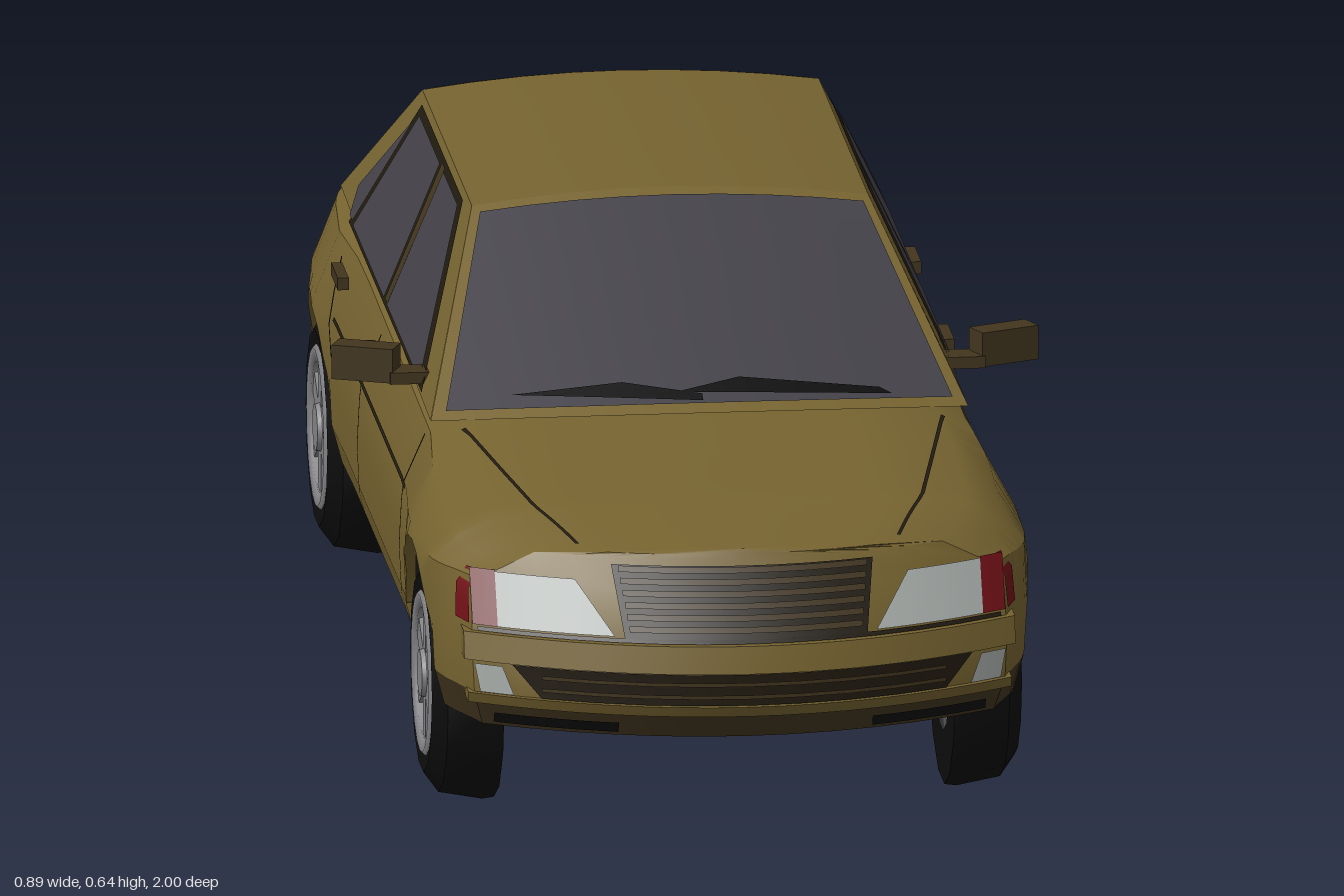
import * as THREE from 'three';
import { toCreasedNormals } from 'three/addons/utils/BufferGeometryUtils.js';

const material = (name, color) => {
  const m = new THREE.MeshStandardMaterial({ color, side: THREE.DoubleSide });
  m.name = name;
  return m;
};
const clamp = (v) => Math.min(1, Math.max(0, v));
const V = (x, y, z) => new THREE.Vector3(x, y, z);

// Piecewise linear lookup in [z, value] pairs
function lookup(table, z) {
  let i = 0;
  while (i < table.length - 2 && z > table[i + 1][0]) i++;
  const [a, b] = [table[i], table[i + 1]];
  return a[1] + (b[1] - a[1]) * clamp((z - a[0]) / (b[0] - a[0]));
}

const FRONT = 0.988, BACK = -0.985, AXLES = [0.61, -0.595], ARCH = 0.172;
const WIDTH = [[-1, 0.31], [-0.85, 0.345], [-0.7, 0.372], [-0.55, 0.383], [-0.4, 0.372], [0.4, 0.372],
  [0.55, 0.385], [0.7, 0.383], [0.85, 0.367], [0.99, 0.337]];
const TOP = [[-1, 0.425], [-0.8, 0.45], [-0.65, 0.457], [0.42, 0.445], [0.6, 0.425], [0.9, 0.395], [0.99, 0.385]];

// Rounds the nose and tail in plan and leans their faces
function bend(p) {
  const f = clamp((p.z - 0.75) / 0.24), r = clamp((-p.z - 0.75) / 0.24);
  const { x, y } = p;
  p.z -= f * (0.95 * x * x + Math.max(0, y - 0.27) * 0.6 + Math.max(0, 0.205 - y) * 0.6);
  p.z += r * (0.42 * x * x + Math.max(0, y - 0.27) * 0.2 + Math.max(0, 0.205 - y) * 0.6);
  return p;
}

// Bottom edge of the body side, rising over the wheels
function sill(z) {
  for (const c of AXLES) {
    const d = ARCH * ARCH - (z - c) ** 2;
    if (d > 0) return 0.163 + Math.sqrt(d);
  }
  return 0.16;
}

// Half cross-section from sill to bonnet centre
function section(z) {
  const w = lookup(WIDTH, z), t = lookup(TOP, z), b = sill(z);
  return [[w - 0.015, b], [w - 0.003, Math.max(0.205, b)], [w, Math.max(0.27, b)], [w - 0.004, 0.345],
    [w - 0.035, t - 0.03], [w - 0.08, t - 0.006], [w * 0.5, t], [0, t + 0.006]];
}

// Surfaces of the car, each taking two coordinates and an outward lift
const front = (x, y, d = 0) => bend(V(x, y, FRONT + d));
const back = (x, y, d = 0) => bend(V(x, y, BACK - d));
const side = (z, y, d = 0) => bend(V(lookup(section(z).slice(0, 5).map(([a, b]) => [b, a]), y) + d, y, z));
const top = (x, z, d = 0) => bend(V(x, lookup(section(z).slice(4).reverse(), x) + d, z));
const cabinSide = (z, y, d = 0) => V(0.337 - 0.087 * (y - 0.44) / 0.182 + d, y, z);
const roof = (x, z, d = 0) => V(x, 0.64 - 0.018 * (x / 0.25) ** 2 + d, z);
const windscreen = (u, v, d = 0) => V(u * 0.339, 0.435 + 0.014 * (1 - u * u), 0.47 - 0.05 * u * u)
  .lerp(roof(u * 0.25, 0.08), v).add(V(0, d, d * 0.5));
const rearScreen = (u, v, d = 0) => V(u * 0.332, 0.45 + 0.014 * (1 - u * u), -0.68)
  .lerp(roof(u * 0.25, -0.49), v).add(V(0, d, -d));

// Geometry from a grid of points
function grid(nu, nv, point) {
  const pos = [], idx = [];
  for (let j = 0; j <= nv; j++) for (let i = 0; i <= nu; i++) pos.push(...point(i, j).toArray());
  for (let j = 0; j < nv; j++) for (let i = 0; i < nu; i++) {
    const a = j * (nu + 1) + i, c = a + nu + 1;
    idx.push(a, a + 1, c, a + 1, c + 1, c);
  }
  const g = new THREE.BufferGeometry();
  g.setAttribute('position', new THREE.Float32BufferAttribute(pos, 3));
  g.setIndex(idx);
  return toCreasedNormals(g, 0.6);
}

export function createModel() {
  const car = new THREE.Group();
  car.name = 'car';
  const paint = material('gold paint', 0x766330), glass = material('tinted glass', 0x434148);
  const black = material('black rubber', 0x0d0d0d), trim = material('brown trim', 0x42351f);
  const seam = material('dark seam', 0x211b10), lamp = material('lamp glass', 0xa9aeab);
  const red = material('red lens', 0x6e1016), alloy = material('alloy', 0x86868a);

  const add = (name, geo, mat, mirror = false) => {
    for (const s of mirror ? [1, -1] : [1]) {
      const m = new THREE.Mesh(geo, mat);
      m.name = mirror ? name + (s > 0 ? 'Left' : 'Right') : name;
      m.scale.x = s;
      car.add(m);
    }
  };
  // Four-cornered panel laid on a surface
  const panel = (name, mat, surf, [a, b, c, d], lift = 0.005, mirror = false, nu = 8, nv = 3) =>
    add(name, grid(nu, nv, (i, j) => {
      const u = i / nu, v = j / nv;
      const mix = (k) => (a[k] * (1 - u) + b[k] * u) * (1 - v) + (d[k] * (1 - u) + c[k] * u) * v;
      return surf(mix(0), mix(1), lift);
    }), mat, mirror);
  const rect = (x0, x1, y0, y1) => [[x0, y0], [x1, y0], [x1, y1], [x0, y1]];

  // Lower body
  const zs = [BACK, -0.95, -0.9, -0.85, -0.8, -0.3, -0.1, 0.1, 0.3, 0.4, 0.82, 0.86, 0.9, 0.94, 0.97, FRONT];
  for (const c of AXLES) for (let k = 0; k <= 12; k++) zs.push(c + ARCH * Math.cos(k * Math.PI / 12));
  zs.sort((a, b) => a - b);
  add('body', grid(12, zs.length - 1, (i, j) => {
    const k = i < 7 ? i + 1 : 13 - i, [x, y] = section(zs[j])[k];
    return bend(V(i < 7 ? x : -x, y, zs[j]));
  }), paint);
  const skirt = (name, mat, lo, hi) => {
    const s = zs.filter((z) => z >= lo && z <= hi);
    add(name, grid(1, s.length - 1, (i, j) => bend(V(...section(s[j])[i], s[j]))), mat, true);
  };
  skirt('frontSkirt', trim, 0.781, 1);
  skirt('sill', paint, -0.768, 0.783);
  skirt('rearSkirt', trim, -1, -0.766);
  for (const [name, z] of [['nose', FRONT], ['tail', BACK]]) {
    const s = section(z), face = (r0, r1) => grid(12, r1 - r0, (i, j) => {
      const [x, y] = s[r0 + j];
      return bend(V(x * (i / 6 - 1), y, z));
    });
    add(name + 'Face', face(1, 7), paint);
    add(name + 'Valance', face(0, 1), trim);
  }

  // Underside and wheel wells
  add('floor', grid(2, zs.length - 1, (i, j) => {
    const x = sill(zs[j]) > 0.161 ? 0.27 : section(zs[j])[0][0];
    return bend(V(x * (i - 1), 0.16, zs[j]));
  }), black);
  const pan = [[-0.88, 0.165], [-0.55, 0.115], [0.5, 0.115], [0.9, 0.17]];
  add('underTray', grid(1, 3, (i, j) => V(i ? 0.27 : -0.27, pan[j][1], pan[j][0])), black);
  add('innerWells', new THREE.BoxGeometry(0.54, 0.18, 1.58).translate(0, 0.25, 0), black);

  // Cabin
  panel('roof', paint, roof, rect(-0.25, 0.25, 0.08, -0.49), 0);
  panel('windscreenFrame', paint, windscreen, rect(-1, 1, 0, 1), 0);
  panel('rearScreenFrame', paint, rearScreen, rect(-1, 1, 0, 1), 0);
  panel('cabinSide', paint, cabinSide, [[0.42, 0.435], [-0.68, 0.45], [-0.49, 0.622], [0.08, 0.622]], 0, true);
  panel('windscreen', glass, windscreen, rect(-0.95, 0.95, 0.03, 0.95));
  panel('rearScreen', glass, rearScreen, rect(-0.93, 0.93, 0.07, 0.95));
  panel('wiperRight', black, windscreen, [[-0.72, 0.08], [0.0, 0.03], [0.0, 0.06], [-0.3, 0.12]], 0.009);
  panel('wiperLeft', black, windscreen, [[-0.1, 0.07], [0.72, 0.04], [0.68, 0.07], [0.15, 0.13]], 0.009);
  panel('windowSurround', seam, cabinSide, [[0.31, 0.443], [-0.53, 0.443], [-0.44, 0.616], [0.03, 0.616]], 0.003, true);
  panel('pillar', trim, cabinSide, [[-0.1, 0.45], [-0.125, 0.45], [-0.172, 0.612], [-0.142, 0.612]], 0.005, true);
  panel('frontWindow', glass, cabinSide, [[0.28, 0.45], [-0.095, 0.45], [-0.137, 0.609], [0.025, 0.609]], 0.006, true);
  panel('rearWindow', glass, cabinSide, [[-0.13, 0.45], [-0.485, 0.45], [-0.413, 0.609], [-0.178, 0.609]], 0.006, true);
  panel('quarterWindow', glass, cabinSide, [[-0.5, 0.452], [-0.53, 0.452], [-0.56, 0.482], [-0.432, 0.6]], 0.006, true);

  // Shut lines and handles
  for (const [name, z] of [['frontDoorLine', 0.385], ['middleDoorLine', -0.1]])
    panel(name, seam, side, rect(z - 0.003, z + 0.003, 0.165, 0.41), 0.003, true, 1, 12);
  panel('rearDoorLine', seam, side, [[-0.405, 0.3], [-0.411, 0.3], [-0.488, 0.41], [-0.482, 0.41]], 0.003, true);
  panel('sideMoulding', seam, side, rect(-0.41, 0.42, 0.347, 0.352), 0.004, true, 16, 1);
  panel('bonnetLine', seam, top, [[0.3, 0.46], [0.305, 0.46], [0.205, 0.96], [0.2, 0.96]], 0.003, true, 1, 16);
  panel('bootLine', seam, top, rect(0.285, 0.29, -0.68, -0.97), 0.003, true, 1, 10);
  panel('bootHinge', seam, top, rect(-0.29, 0.29, -0.684, -0.69), 0.003);
  for (const z of [-0.045, -0.425])
    add('doorHandle', new THREE.BoxGeometry(0.014, 0.016, 0.075).translate(0.361, 0.4, z), trim, true);

  // Mirrors
  const mirror = new THREE.BoxGeometry(0.08, 0.044, 0.035);
  mirror.rotateY(0.4).translate(0.402, 0.47, 0.25);
  add('mirror', mirror, trim, true);
  add('mirrorFoot', new THREE.BoxGeometry(0.05, 0.015, 0.04).translate(0.35, 0.455, 0.265), trim, true);
  add('mirrorGlass', new THREE.BoxGeometry(0.068, 0.034, 0.004).translate(0, 0, -0.019).rotateY(0.4)
    .translate(0.402, 0.47, 0.25), glass, true);

  // Bumpers, bent to follow the body ends
  const bar = (name, mat, w, h, d, y, z) => {
    const g = new THREE.BoxGeometry(w, h, d, 16, 1, 2).translate(0, y, z), p = g.attributes.position, v = V(0, 0, 0);
    for (let i = 0; i < p.count; i++) {
      bend(v.fromBufferAttribute(p, i));
      p.setXYZ(i, v.x, v.y, v.z);
    }
    add(name, toCreasedNormals(g, 0.6), mat);
  };
  bar('frontBumper', paint, 0.695, 0.034, 0.06, 0.267, 0.97);
  bar('frontBumperLip', paint, 0.685, 0.014, 0.05, 0.2, 0.973);
  bar('rearBumper', paint, 0.645, 0.085, 0.06, 0.245, -0.97);

  // Front face
  panel('grille', seam, front, [[-0.153, 0.29], [0.153, 0.29], [0.165, 0.373], [-0.165, 0.373]]);
  for (let k = 0; k < 6; k++) {
    const y = 0.298 + k * 0.0135, w = 0.147 + k * 0.002;
    panel('grilleBar', trim, front, rect(-w, w, y, y + 0.007), 0.009, false, 8, 1);
  }
  panel('headlamp', lamp, front, [[0.165, 0.292], [0.306, 0.292], [0.306, 0.354], [0.21, 0.354]], 0.006, true);
  panel('frontMarker', red, front, rect(0.306, 0.336, 0.292, 0.356), 0.006, true);
  panel('frontMarkerSide', red, side, rect(0.93, 0.99, 0.292, 0.352), 0.004, true);
  panel('intake', seam, front, [[-0.255, 0.208], [0.255, 0.208], [0.29, 0.248], [-0.29, 0.248]], 0.006);
  for (const y of [0.217, 0.233]) panel('intakeBar', trim, front, rect(-0.255, 0.255, y, y + 0.005), 0.009, false, 8, 1);
  panel('fogLamp', lamp, front, [[0.288, 0.209], [0.328, 0.209], [0.335, 0.245], [0.302, 0.245]], 0.007, true);
  panel('lowerIntake', black, front, rect(0.16, 0.31, 0.166, 0.18), 0.006, true);
  panel('bumperSeam', seam, front, rect(-0.33, 0.33, 0.285, 0.29), 0.005, false, 12, 1);

  // Rear face
  panel('rearPanel', trim, back, rect(-0.2, 0.2, 0.325, 0.39));
  panel('tailLamp', red, back, [[0.2, 0.315], [0.308, 0.3], [0.29, 0.392], [0.2, 0.392]], 0.006, true);
  panel('reverseLamp', lamp, back, rect(0.175, 0.215, 0.3, 0.345), 0.008, true);
  panel('tailLampSide', red, side, rect(-0.985, -0.905, 0.298, 0.392), 0.004, true);
  panel('tailSeam', seam, back, rect(-0.3, 0.3, 0.289, 0.294), 0.004, false, 12, 1);
  add('exhaust', new THREE.CylinderGeometry(0.014, 0.014, 0.1, 8).rotateX(Math.PI / 2).translate(0.2, 0.152, -0.92), trim, true);

  // Wheels
  const profile = [[0.09, 0], [0.158, 0], [0.16, 0.015], [0.15, 0.07], [0.125, 0.088], [0.104, 0.085], [0.1, 0.07], [0, 0.07]];
  const tyre = toCreasedNormals(new THREE.LatheGeometry(profile.map((p) => new THREE.Vector2(...p)), 14), 0.5);
  const rimRing = new THREE.LatheGeometry([[0.106, 0.084], [0.1, 0.09], [0.083, 0.086], [0.083, 0.07]]
    .map((p) => new THREE.Vector2(...p)), 20);
  const hub = new THREE.CylinderGeometry(0.03, 0.036, 0.02, 12).translate(0, 0.08, 0);
  const spoke = new THREE.BoxGeometry(0.07, 0.012, 0.034).translate(0.055, 0.078, 0);
  for (const z of AXLES) for (const s of [1, -1]) {
    const wheel = new THREE.Group();
    wheel.name = (z > 0 ? 'front' : 'rear') + 'Wheel' + (s > 0 ? 'Left' : 'Right');
    const part = (name, g, m, turn = 0) => {
      const mesh = new THREE.Mesh(g, m);
      mesh.name = name;
      mesh.rotation.y = turn;
      wheel.add(mesh);
    };
    part('tyre', tyre, black);
    part('rim', rimRing, alloy);
    part('hub', hub, alloy);
    for (let k = 0; k < 6; k++) part('spoke', spoke, alloy, k * Math.PI / 3);
    wheel.rotation.z = -s * Math.PI / 2;
    wheel.position.set(s * 0.284, 0.16, z);
    car.add(wheel);
  }
  return car;
}
